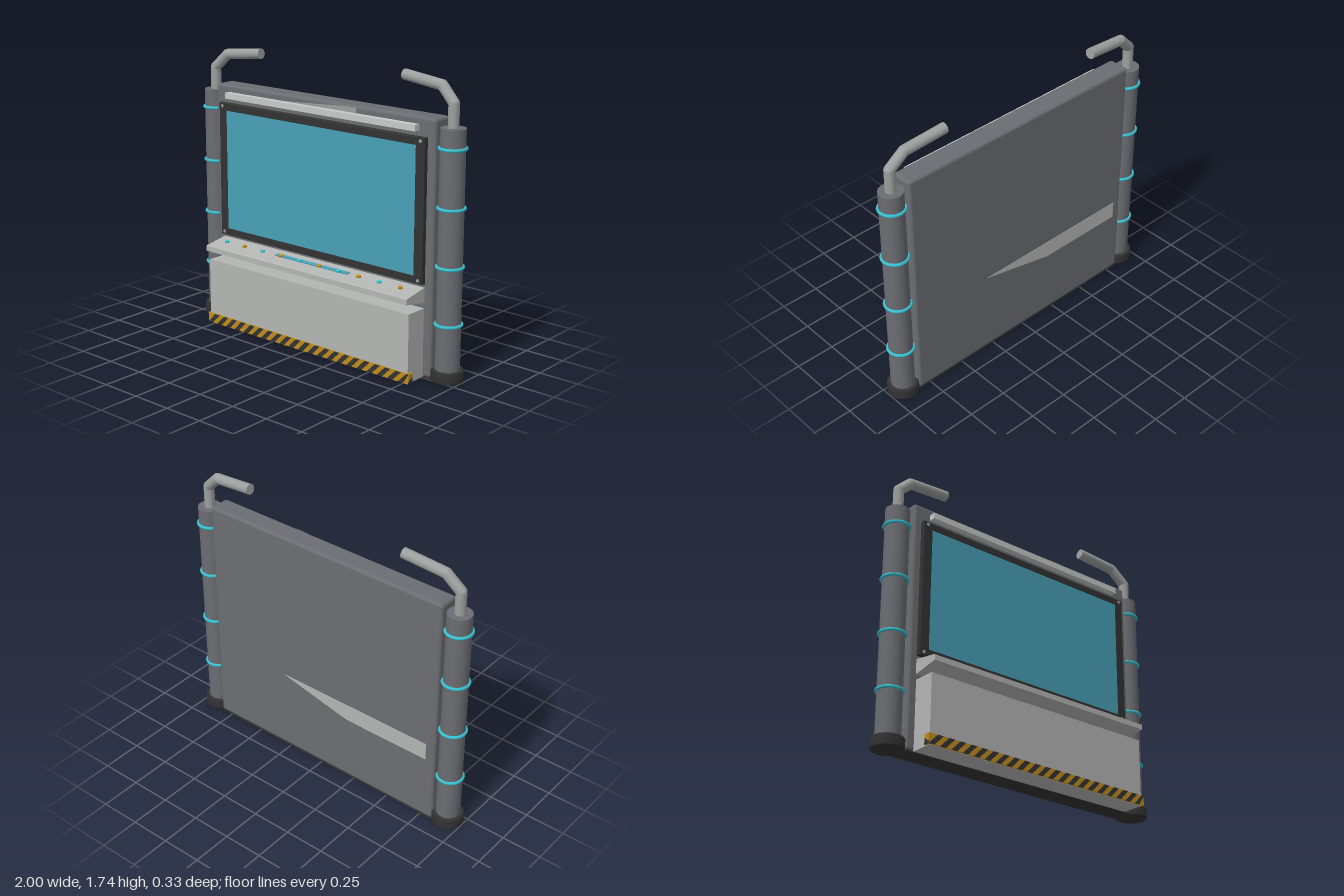
import * as THREE from 'three';
import { RoundedBoxGeometry } from 'three/addons/geometries/RoundedBoxGeometry.js';

const mat = (name, color, side = THREE.FrontSide) => {
  const m = new THREE.MeshStandardMaterial({ color, side });
  m.name = name;
  return m;
};

export function createModel() {
  const root = new THREE.Group();
  root.name = 'displayConsole';
  const steel = mat('steel grey', 0x6b6d72);
  const light = mat('light grey', 0xb4b6b4);
  const pale = mat('pale trim', 0xc8caca);
  const pipe = mat('pipe grey', 0x9d9f9f);
  const black = mat('charcoal', 0x333333);
  const glass = mat('screen blue', 0x48a0b6);
  const cyan = mat('ring cyan', 0x38c0cf);
  const amber = mat('amber', 0xc08c1c);

  const add = (name, geo, m, x = 0, y = 0, z = 0, parent = root) => {
    const mesh = new THREE.Mesh(geo, m);
    mesh.name = name;
    mesh.position.set(x, y, z);
    parent.add(mesh);
    return mesh;
  };
  // box given by its minimum and maximum corners
  const box = (name, m, x0, x1, y0, y1, z0, z1) =>
    add(name, new THREE.BoxGeometry(x1 - x0, y1 - y0, z1 - z0), m, (x0 + x1) / 2, (y0 + y1) / 2, (z0 + z1) / 2);
  const extrude = (points, depth) => new THREE.ExtrudeGeometry(
    new THREE.Shape(points.map(p => new THREE.Vector2(...p))), { depth, bevelEnabled: false });

  // back panel and its foot plate
  add('backPanel', new RoundedBoxGeometry(1.67, 1.505, 0.135, 3, 0.02), steel, 0, 0.7575, -0.07);
  box('footPlate', black, -0.83, 0.83, 0, 0.008, -0.135, -0.005);

  // screen with frame and corner screws
  const frame = new THREE.Shape([[-0.78, 0.566], [0.78, 0.566], [0.78, 1.396], [-0.78, 1.396]].map(p => new THREE.Vector2(...p)));
  frame.holes.push(new THREE.Path([[-0.727, 0.604], [-0.727, 1.358], [0.727, 1.358], [0.727, 0.604]].map(p => new THREE.Vector2(...p))));
  add('screenFrame', new THREE.ExtrudeGeometry(frame, {
    depth: 0.024, bevelSize: 0.005, bevelThickness: 0.005, bevelSegments: 2 }), black, 0, 0, -0.002);
  box('screen', glass, -0.73, 0.73, 0.6, 1.36, 0, 0.026);
  for (const x of [-0.757, 0.757]) for (const y of [0.582, 1.382]) {
    const s = add('frameScrew', new THREE.CylinderGeometry(0.01, 0.01, 0.008, 12), pipe, x, y, 0.027);
    s.rotation.x = Math.PI / 2;
  }

  // header trim above the screen
  box('topBar', pale, -0.725, 0.725, 1.432, 1.468, -0.01, 0.038);
  add('headerPlate', extrude([[-0.27, 1.468], [0.28, 1.468], [0.28, 1.5], [0.2, 1.499]], 0.003), pipe, 0, 0, -0.003);

  // sloping control desk, its profile drawn in z and y
  const desk = extrude([[-0.03, 0.545], [-0.03, 0.445], [0, 0.45], [0.165, 0.48], [0.165, 0.512], [0.155, 0.515]], 1.57);
  desk.rotateY(-Math.PI / 2).translate(0.785, 0, 0);
  add('controlDesk', desk, light);
  const slope = 0.16;
  for (let i = 0; i < 10; i++) {
    const b = add('button', new THREE.CylinderGeometry(0.014, 0.014, 0.01, 12), i % 2 ? amber : cyan,
      -0.676 + i * 0.151, 0.543, 0.09);
    b.rotation.x = slope;
  }
  const strip = add('deskLightStrip', new THREE.BoxGeometry(0.565, 0.006, 0.026), glass, 0, 0.533, 0.063);
  strip.rotation.x = slope;

  // lower cabinet
  box('cabinet', light, -0.782, 0.782, 0.004, 0.418, -0.03, 0.138);

  // thin rear inlay
  add('rearInlay', extrude([[0.29, 0.54], [-0.2, 0.43], [-0.775, 0.43], [-0.775, 0.54]], 0.003), light, 0, 0, -0.1395);

  // hazard bumper with slanted stripes on its front and ends
  const y0 = 0.006, y1 = 0.067, limit = 0.795;
  box('hazardBumper', amber, -limit, limit, y0, y1, 0.11, 0.147);
  const clampX = x => Math.min(limit, Math.max(-limit, x));
  const lean = 0.06, pitch = 0.0757;
  for (let i = 0; i < 21; i++) {
    const x = -limit + i * pitch;
    add('hazardStripe', extrude([[x, y0], [clampX(x + 0.038), y0], [clampX(x + 0.038 + lean), y1], [clampX(x + lean), y1]], 0.002),
      black, 0, 0, 0.1465);
  }
  for (const s of [-1, 1]) {
    const g = extrude([[0.11, y0], [0.147, y0], [0.147, 0.02], [0.11, 0.045]], 0.002);
    g.rotateY(-Math.PI / 2);
    add('hazardEndStripe', g, black, s * limit + 0.001, 0, 0);
  }

  // side pillars with rings, feet and bent pipe arms
  const up = new THREE.Vector3(0, 1, 0);
  for (const s of [-1, 1]) {
    const side = new THREE.Group();
    side.name = s > 0 ? 'leftPillar' : 'rightPillar';
    root.add(side);
    const px = s * 0.905, pz = -0.07;
    add('column', new THREE.CylinderGeometry(0.072, 0.072, 1.44, 24), steel, px, 0.74, pz, side);
    const footProfile = [[0, 0], [0.09, 0], [0.095, 0.006], [0.095, 0.06], [0.09, 0.067], [0, 0.067]];
    add('foot', new THREE.LatheGeometry(footProfile.map(p => new THREE.Vector2(...p)), 24), black, px, 0, pz, side);
    for (let i = 1; i <= 4; i++) {
      const ring = add('ring', new THREE.TorusGeometry(0.075, 0.01, 8, 28), cyan, px, i * 0.337, pz, side);
      ring.rotation.x = Math.PI / 2;
    }
    const path = [[0.905, 1.45, -0.07], [0.905, 1.595, -0.07], [0.815, 1.682, -0.085], [0.545, 1.71, -0.1]]
      .map(p => new THREE.Vector3(p[0] * s, p[1], p[2]));
    for (let i = 0; i < 3; i++) {
      const dir = path[i + 1].clone().sub(path[i]);
      const mid = path[i].clone().addScaledVector(dir, 0.5);
      const tube = add('armPipe', new THREE.CylinderGeometry(0.032, 0.032, dir.length(), 16), pipe, mid.x, mid.y, mid.z, side);
      tube.quaternion.setFromUnitVectors(up, dir.normalize());
      if (i) add('armElbow', new THREE.SphereGeometry(0.032, 16, 10), pipe, path[i].x, path[i].y, path[i].z, side);
    }
  }
  return root;
}
